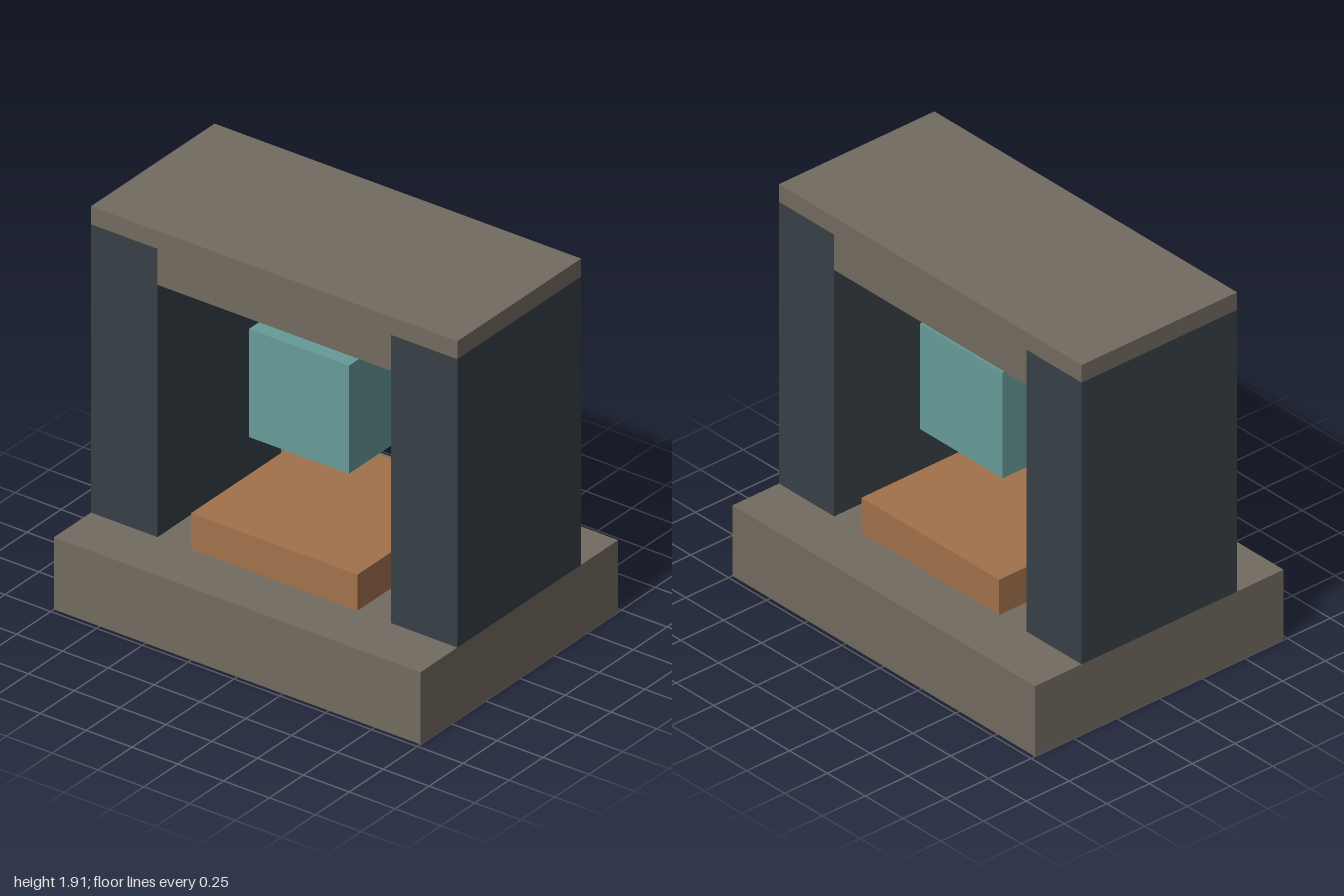
import * as THREE from 'three';

// All sizes are whole multiples of one unit; the model is 22 units wide.
const U = 1 / 11;
const STONE = 0x736b60, SLATE = 0x374047, TEAL = 0x679b98, COPPER = 0xa2724c;

function addMesh(group, name, geometry, color) {
  const material = new THREE.MeshStandardMaterial({ color, flatShading: true });
  const mesh = new THREE.Mesh(geometry, material);
  mesh.name = name;
  group.add(mesh);
  return mesh;
}

// Box given by its size, centre x and bottom height, in units
function addBox(group, name, [w, h, d], x, bottom, color) {
  const mesh = addMesh(group, name, new THREE.BoxGeometry(w * U, h * U, d * U), color);
  mesh.position.set(x * U, (bottom + h / 2) * U, 0);
}

export function createModel() {
  const model = new THREE.Group();
  model.name = 'pressFrame';

  addBox(model, 'base', [22, 4, 16], 0, 0, STONE);
  addBox(model, 'leftPillar', [4, 16, 10], 9, 4, SLATE);
  addBox(model, 'rightPillar', [4, 16, 10], -9, 4, SLATE);
  addBox(model, 'bedPlate', [10, 2, 10], 0, 4, COPPER);
  addBox(model, 'floatingBlock', [6, 6, 6], 0, 10, TEAL);

  // Lintel: rests on the pillars and drops down between them
  const profile = [[-11, 21], [-11, 20], [-7, 20], [-7, 18], [7, 18], [7, 20], [11, 20], [11, 21]];
  const shape = new THREE.Shape(profile.map(([x, y]) => new THREE.Vector2(x * U, y * U)));
  const lintel = new THREE.ExtrudeGeometry(shape, { depth: 10 * U, bevelEnabled: false });
  lintel.translate(0, 0, -5 * U);
  addMesh(model, 'lintel', lintel, STONE);

  return model;
}
